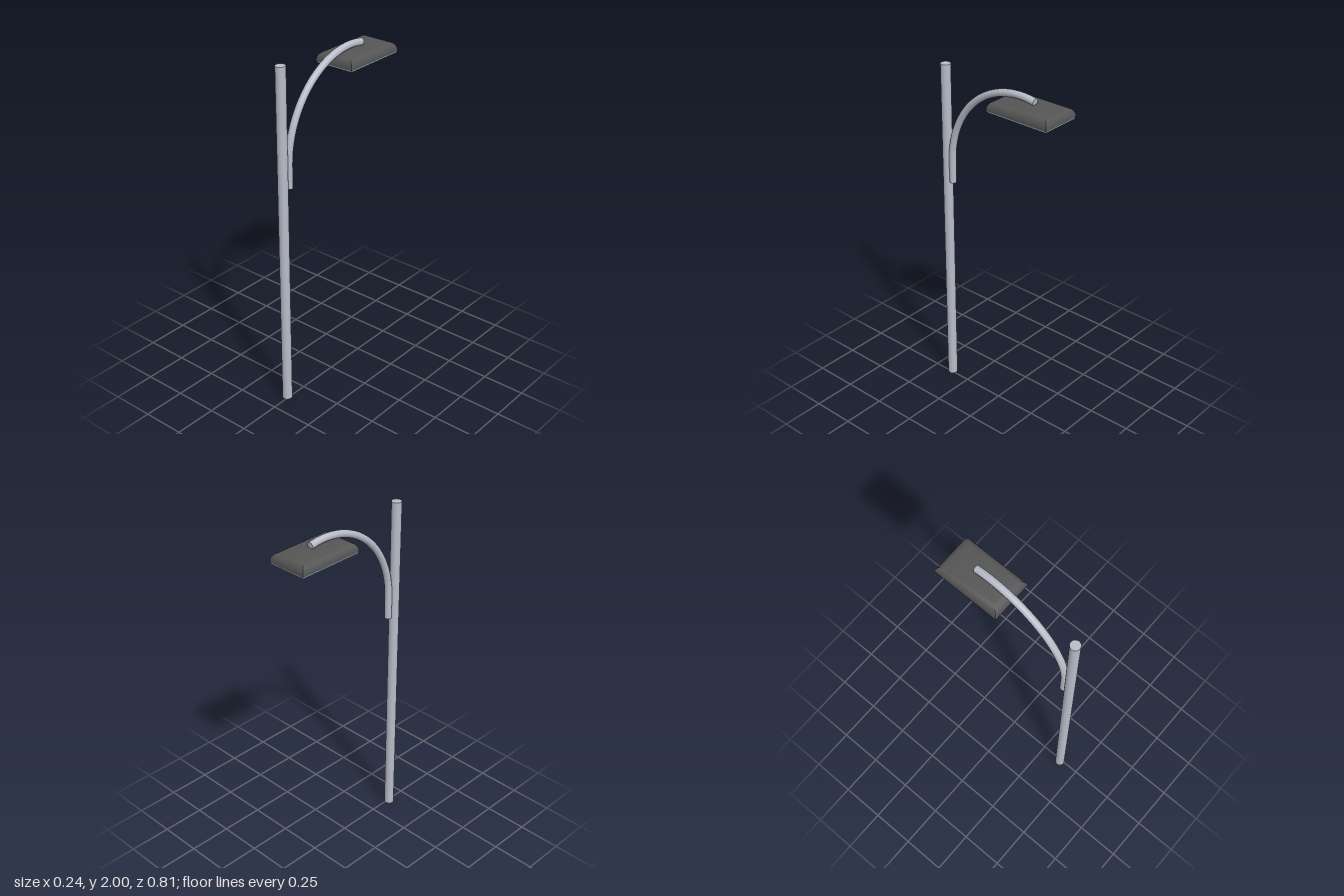
import * as THREE from 'three';
import { toCreasedNormals } from 'three/addons/utils/BufferGeometryUtils.js';

const material = (name, color) => {
  const m = new THREE.MeshStandardMaterial({ color });
  m.name = name;
  return m;
};

// Rectangular shell from stacked rings of [inset, y], closed at top and bottom
function shell(width, depth, rings) {
  const pos = [], index = [];
  for (const [inset, y] of rings) {
    const w = width / 2 - inset, d = depth / 2 - inset;
    pos.push(-w, y, d, w, y, d, w, y, -d, -w, y, -d);
  }
  for (let r = 0; r < rings.length - 1; r++) {
    for (let i = 0; i < 4; i++) {
      const a = r * 4 + i, b = r * 4 + (i + 1) % 4;
      index.push(a, b, b + 4, a, b + 4, a + 4);
    }
  }
  const t = (rings.length - 1) * 4;
  index.push(t, t + 1, t + 2, t, t + 2, t + 3, 0, 2, 1, 0, 3, 2);
  const g = new THREE.BufferGeometry();
  g.setAttribute('position', new THREE.Float32BufferAttribute(pos, 3));
  g.setIndex(index);
  return toCreasedNormals(g, 0.75);
}

export function createModel() {
  const group = new THREE.Group();
  const steel = material('galvanised steel', 0xb8bcc8);
  const dark = material('dark housing', 0x555555);
  const glass = material('lamp glass', 0x96bcbc);

  const add = (name, geometry, mat, x = 0, y = 0, z = 0) => {
    const mesh = new THREE.Mesh(geometry, mat);
    mesh.name = name;
    mesh.position.set(x, y, z);
    group.add(mesh);
    return mesh;
  };

  // Upright pole
  add('pole', new THREE.CylinderGeometry(0.028, 0.028, 2, 32), steel, -0.01, 1, 0.379);

  // Arm: short straight foot, then an elliptical sweep that dips at the tip
  const points = [new THREE.Vector3(-0.004, 1.315, 0.337), new THREE.Vector3(-0.004, 1.38, 0.337)];
  const steps = 14, sweep = THREE.MathUtils.degToRad(101);
  for (let i = 0; i <= steps; i++) {
    const a = sweep * i / steps;
    points.push(new THREE.Vector3(
      -0.004 + 0.005 * i / steps,
      1.45 + 0.515 * Math.sin(a),
      -0.15 + 0.487 * Math.cos(a)));
  }
  const path = new THREE.CatmullRomCurve3(points);
  add('arm', new THREE.TubeGeometry(path, 56, 0.02, 20), steel);

  // Arm end caps
  for (const [name, t, sign] of [['armFootCap', 0, -1], ['armTipCap', 1, 1]]) {
    const p = path.getPoint(t);
    const cap = add(name, new THREE.CircleGeometry(0.02, 20), steel, p.x, p.y, p.z);
    cap.lookAt(p.clone().addScaledVector(path.getTangent(t), sign));
  }

  // Lamp head with rounded shoulders
  add('lampHousing', shell(0.236, 0.39, [
    [0, 1.883], [0, 1.9], [0.005, 1.914], [0.014, 1.927],
    [0.027, 1.935], [0.045, 1.939], [0.08, 1.942],
  ]), dark, 0, 0, -0.213);

  // Glass under the lamp head
  add('lampGlass', new THREE.BoxGeometry(0.232, 0.008, 0.386), glass, 0, 1.88, -0.213);

  return group;
}
